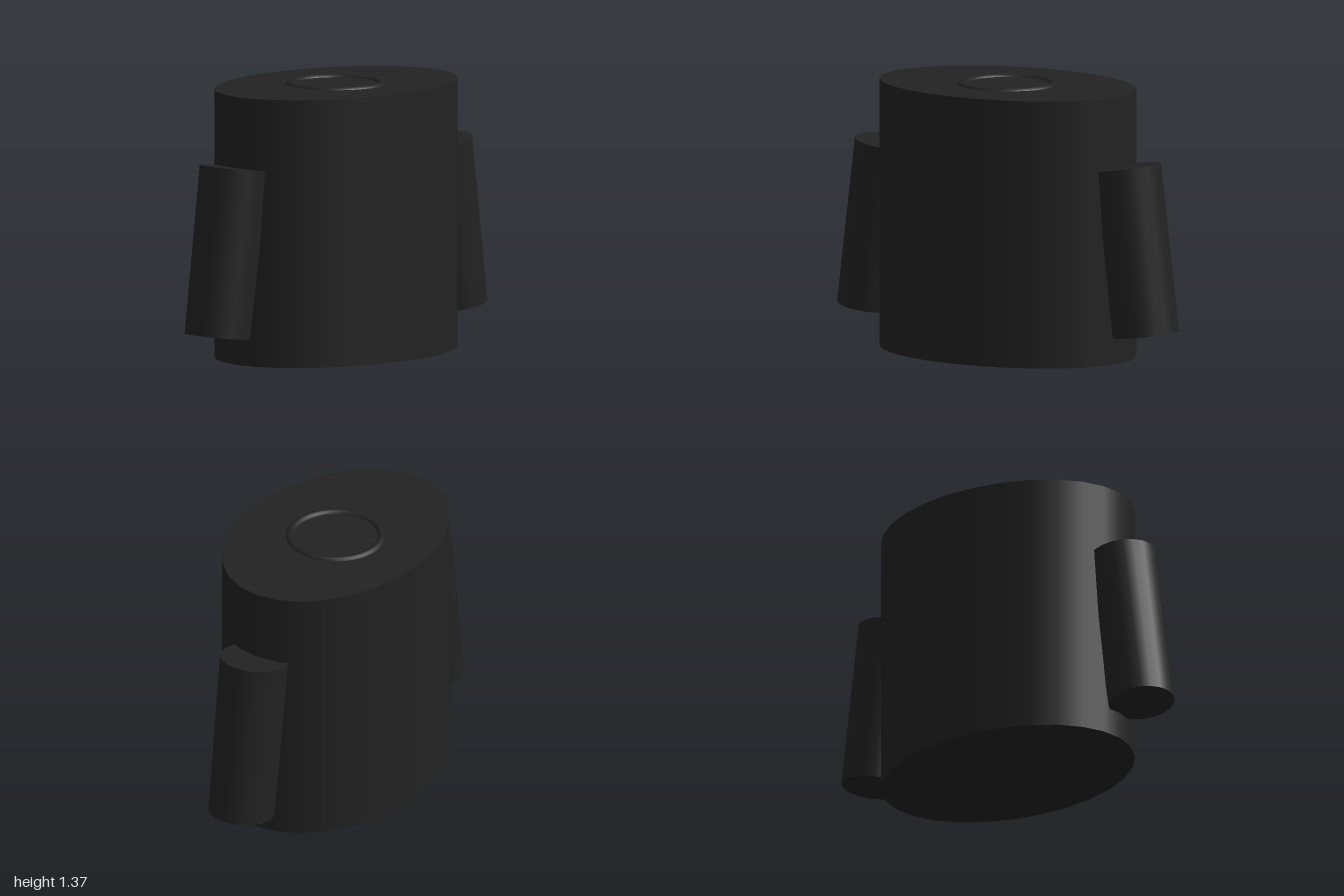
import * as THREE from 'three';

export function createModel() {
  const group = new THREE.Group();
  const charcoal = new THREE.MeshStandardMaterial({ color: 0x222222 });
  charcoal.name = 'charcoal';

  const add = (name, geometry) => {
    const mesh = new THREE.Mesh(geometry, charcoal);
    mesh.name = name;
    group.add(mesh);
    return mesh;
  };

  // Oval torso
  const height = 1.352;
  add('torso', new THREE.CylinderGeometry(1, 1, height, 28).scale(0.7, 1, 0.5))
    .position.y = height / 2;

  // Collar ring half sunk into the top of the torso
  add('collar', new THREE.TorusGeometry(0.23, 0.025, 12, 40).rotateX(Math.PI / 2))
    .position.y = 1.34;

  // Slightly tapered arms, leaning outwards at the bottom
  const top = new THREE.Vector2(0.72, 0.996);
  const bottom = new THREE.Vector2(0.836, 0.157);
  const tilt = Math.atan2(bottom.x - top.x, top.y - bottom.y);
  for (const side of [1, -1]) {
    const arm = add(side > 0 ? 'leftArm' : 'rightArm',
      new THREE.CylinderGeometry(0.173, 0.166, top.distanceTo(bottom), 20));
    arm.position.set(side * (top.x + bottom.x) / 2, (top.y + bottom.y) / 2, 0);
    arm.rotation.z = side * tilt;
  }

  return group;
}
